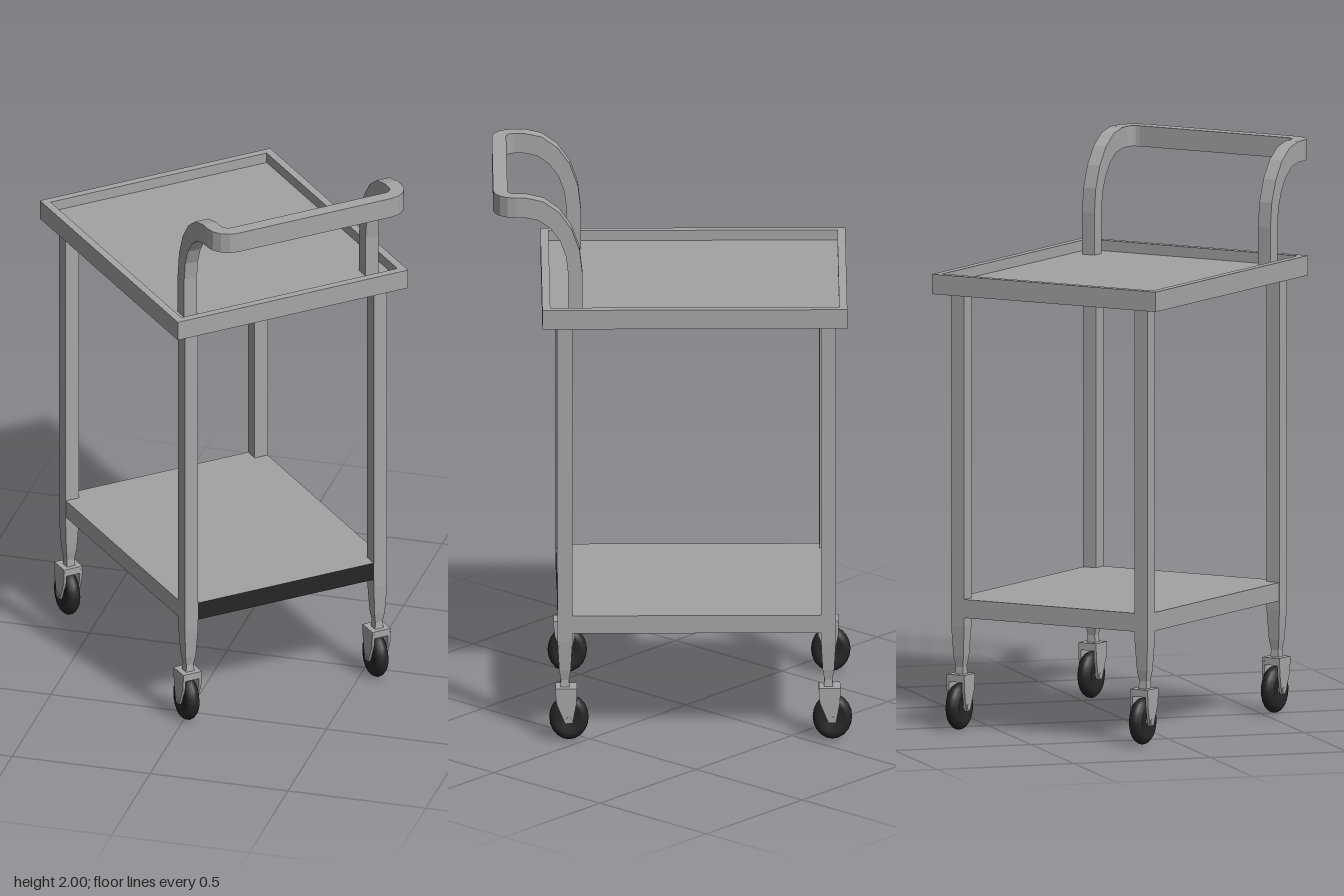
import * as THREE from 'three';

const metal = new THREE.MeshStandardMaterial({ color: 0xa6a6a6 });
metal.name = 'brushed metal';
const panel = new THREE.MeshStandardMaterial({ color: 0xa5a2a3 });
panel.name = 'shelf grey';
const black = new THREE.MeshStandardMaterial({ color: 0x262626 });
black.name = 'rubber black';

const LEG_X = 0.37, LEG_Z = 0.46, LEG_HALF = 0.026;

function add(parent, name, geometry, material, x = 0, y = 0, z = 0) {
  const mesh = new THREE.Mesh(geometry, material);
  mesh.name = name;
  mesh.position.set(x, y, z);
  parent.add(mesh);
  return mesh;
}

// Faceted copy of a smooth geometry
function faceted(geometry) {
  const flat = geometry.toNonIndexed();
  flat.computeVertexNormals();
  return flat;
}

const points = list => list.map(([x, y]) => new THREE.Vector2(x, y));

// Outline in (z, y), extruded symmetrically along x
function sideExtrude(list, width) {
  const g = new THREE.ExtrudeGeometry(new THREE.Shape(points(list)), { depth: width, bevelEnabled: false });
  return g.translate(0, 0, -width / 2).rotateY(-Math.PI / 2);
}

// Outline in (x, z), extruded upward from y = 0
function planExtrude(shape, height) {
  const g = new THREE.ExtrudeGeometry(shape, { depth: height, bevelEnabled: false });
  return g.rotateX(Math.PI / 2).translate(0, height, 0);
}

// Points on an elliptical arc
function arc(cx, cy, rx, ry, from, to, steps) {
  return Array.from({ length: steps + 1 }, (_, i) => {
    const a = from + (to - from) * i / steps;
    return [cx + rx * Math.cos(a), cy + ry * Math.sin(a)];
  });
}

const rectangle = (w, d) => points([[-w, -d], [w, -d], [w, d], [-w, d]]);

function buildTray() {
  const tray = new THREE.Group();
  tray.name = 'topTray';
  const rim = new THREE.Shape(rectangle(0.451, 0.5325));
  rim.holes.push(new THREE.Path(rectangle(0.423, 0.5045)));
  add(tray, 'trayRim', planExtrude(rim, 0.07), metal, 0, 1.54, 0);
  add(tray, 'trayFloor', new THREE.BoxGeometry(0.848, 0.032, 1.011), panel, 0, 1.557, 0);
  return tray;
}

function buildHandle() {
  const handle = new THREE.Group();
  handle.name = 'pushHandle';
  // Posts rise from the tray and bend forward
  const bend = 0.59, start = 1.72, low = 1.57;
  const profile = [
    [0.392, low],
    ...arc(bend, start, bend - 0.392, 2 - start, Math.PI, Math.PI / 2, 5),
    ...arc(bend, start, bend - 0.442, 1.927 - start, Math.PI / 2, Math.PI, 5),
    [0.442, low],
  ];
  for (const side of [-1, 1]) {
    add(handle, 'handlePost', sideExtrude(profile, 0.05), metal, side * 0.355, 0, 0);
  }
  // Grip bar with rounded corners
  const outer = 0.38, inner = 0.33, front = 0.703, r = 0.08, ri = 0.03;
  const grip = new THREE.Shape(points([
    [outer, bend],
    ...arc(outer - r, front - r, r, r, 0, Math.PI / 2, 4),
    ...arc(r - outer, front - r, r, r, Math.PI / 2, Math.PI, 4),
    [-outer, bend], [-inner, bend],
    ...arc(ri - inner, front - r, ri, ri, Math.PI, Math.PI / 2, 4),
    ...arc(inner - ri, front - r, ri, ri, Math.PI / 2, 0, 4),
    [inner, bend],
  ]));
  add(handle, 'gripBar', planExtrude(grip, 0.073), metal, 0, 1.927, 0);
  return handle;
}

// Square leg tapering to a narrow stem
function buildLeg() {
  const k = Math.SQRT2;
  const profile = points([
    [0, 0.18], [0.018 * k, 0.18], [0.014 * k, 0.225], [0.02 * k, 0.262],
    [LEG_HALF * k, 0.37], [LEG_HALF * k, 1.545],
  ]);
  return faceted(new THREE.LatheGeometry(profile, 4, Math.PI / 4));
}

function buildCaster() {
  const caster = new THREE.Group();
  caster.name = 'caster';
  const trail = -0.014, hubY = 0.086;
  // Fork crown and two tapered cheeks
  add(caster, 'forkCrown', new THREE.BoxGeometry(0.072, 0.026, 0.075), metal, 0, 0.187, -0.004);
  const cheek = [[-0.042, 0.19], [0.034, 0.19], [0.03, 0.145], [0.0, 0.072], [-0.026, 0.072], [-0.04, 0.145]];
  for (const side of [-1, 1]) {
    add(caster, 'forkCheek', sideExtrude(cheek, 0.01), metal, side * 0.031, 0, 0);
  }
  const axle = new THREE.CylinderGeometry(0.01, 0.01, 0.076, 8).rotateZ(Math.PI / 2);
  add(caster, 'axle', axle, metal, 0, hubY, trail);
  // Rounded tyre, slightly taller than long
  const tyre = new THREE.LatheGeometry(points([
    [0, -0.018], [0.03, -0.02], [0.045, -0.026], [0.058, -0.022], [0.066, -0.012],
    [0.069, 0], [0.066, 0.012], [0.058, 0.022], [0.045, 0.026], [0.03, 0.02], [0, 0.018],
  ]), 20).rotateZ(Math.PI / 2).scale(1, 1.2, 1);
  add(caster, 'wheel', tyre, black, 0, hubY, trail);
  return caster;
}

export function createModel() {
  const model = new THREE.Group();
  model.name = 'serviceCart';
  const cart = new THREE.Group();
  cart.name = 'cart';
  cart.position.set(-0.018, 0, -0.0225);
  cart.rotation.y = 0.7424;
  model.add(cart);

  cart.add(buildTray(), buildHandle());

  // Legs, shelf and casters sit slightly behind the tray centre
  const frame = new THREE.Group();
  frame.name = 'frame';
  frame.position.z = -0.007;
  cart.add(frame);

  for (const x of [-LEG_X, LEG_X]) {
    for (const z of [-LEG_Z, LEG_Z]) {
      add(frame, 'leg', buildLeg(), metal, x, 0, z);
      const caster = buildCaster();
      caster.position.set(x, 0, z);
      frame.add(caster);
    }
  }

  // Lower shelf, flush with the legs, with a black front edge
  const shelf = new THREE.BoxGeometry(2 * (LEG_X + LEG_HALF) - 0.002, 0.065, 2 * (LEG_Z + LEG_HALF) - 0.002);
  add(frame, 'lowerShelf', shelf, [metal, metal, panel, panel, black, metal], 0, 0.433, 0);
  return model;
}
